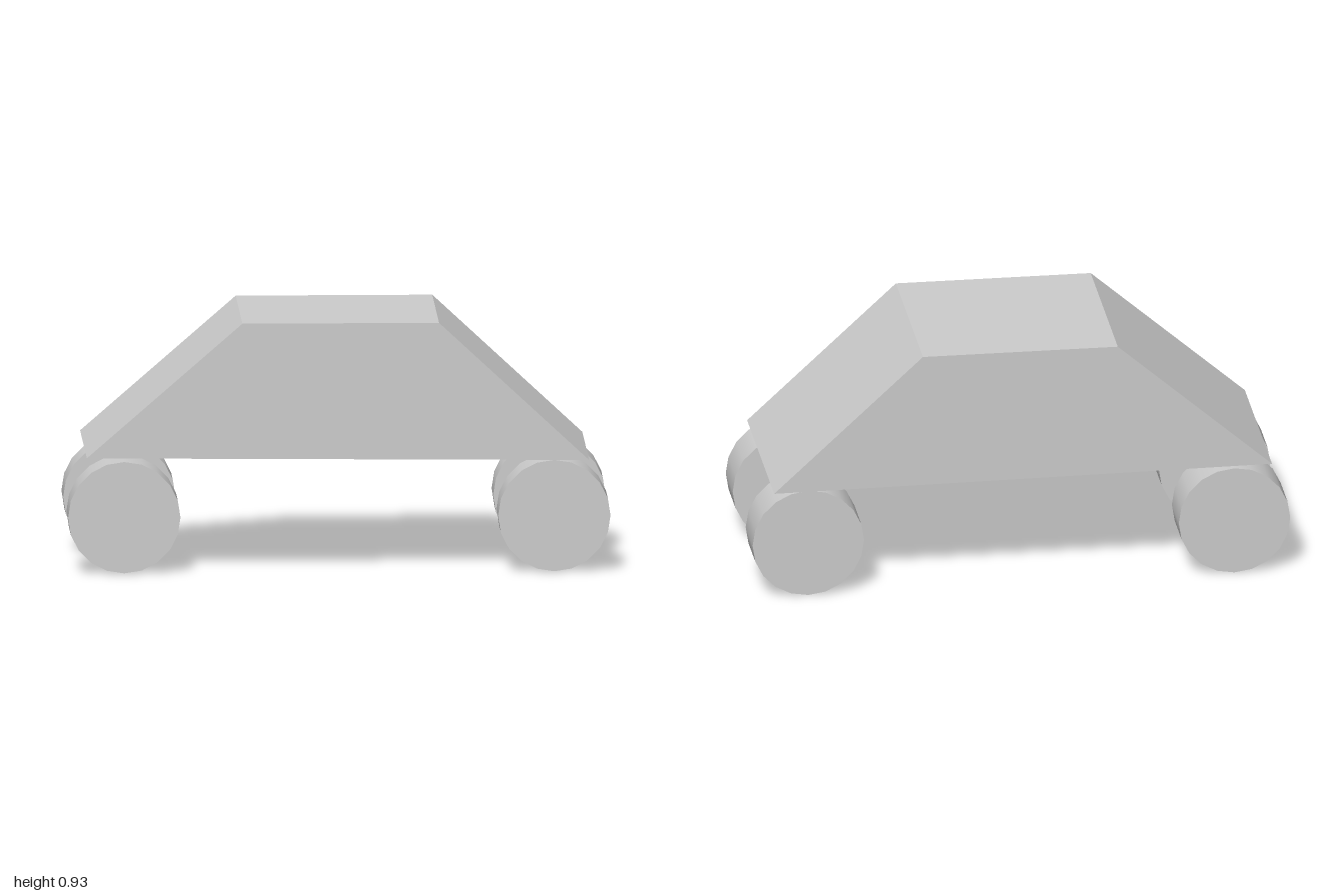
import * as THREE from 'three';

export function createModel() {
  const model = new THREE.Group();
  const material = new THREE.MeshStandardMaterial({ color: 0xcccccc });

  // Trapezoid body with a slightly tilted underside
  const profile = new THREE.Shape([
    [-0.93, 0.428], [0.92, 0.413], [0.367, 0.926], [-0.357, 0.926],
  ].map(([x, y]) => new THREE.Vector2(x, y)));
  const depth = 0.722;
  const bodyGeometry = new THREE.ExtrudeGeometry(profile, { depth, bevelEnabled: false });
  bodyGeometry.translate(0, 0, -depth / 2);
  const body = new THREE.Mesh(bodyGeometry, material);
  body.name = 'body';
  model.add(body);

  // Four solid wheels, axles along z
  const radius = 0.207;
  const wheelGeometry = new THREE.CylinderGeometry(radius, radius, 0.184, 20);
  wheelGeometry.rotateX(Math.PI / 2);
  for (const [side, x] of [['left', 0.792], ['right', -0.792]]) {
    for (const [end, z] of [['Front', 0.27], ['Back', -0.26]]) {
      const wheel = new THREE.Mesh(wheelGeometry, material);
      wheel.name = `${side}${end}Wheel`;
      wheel.position.set(x, radius, z);
      model.add(wheel);
    }
  }
  return model;
}
